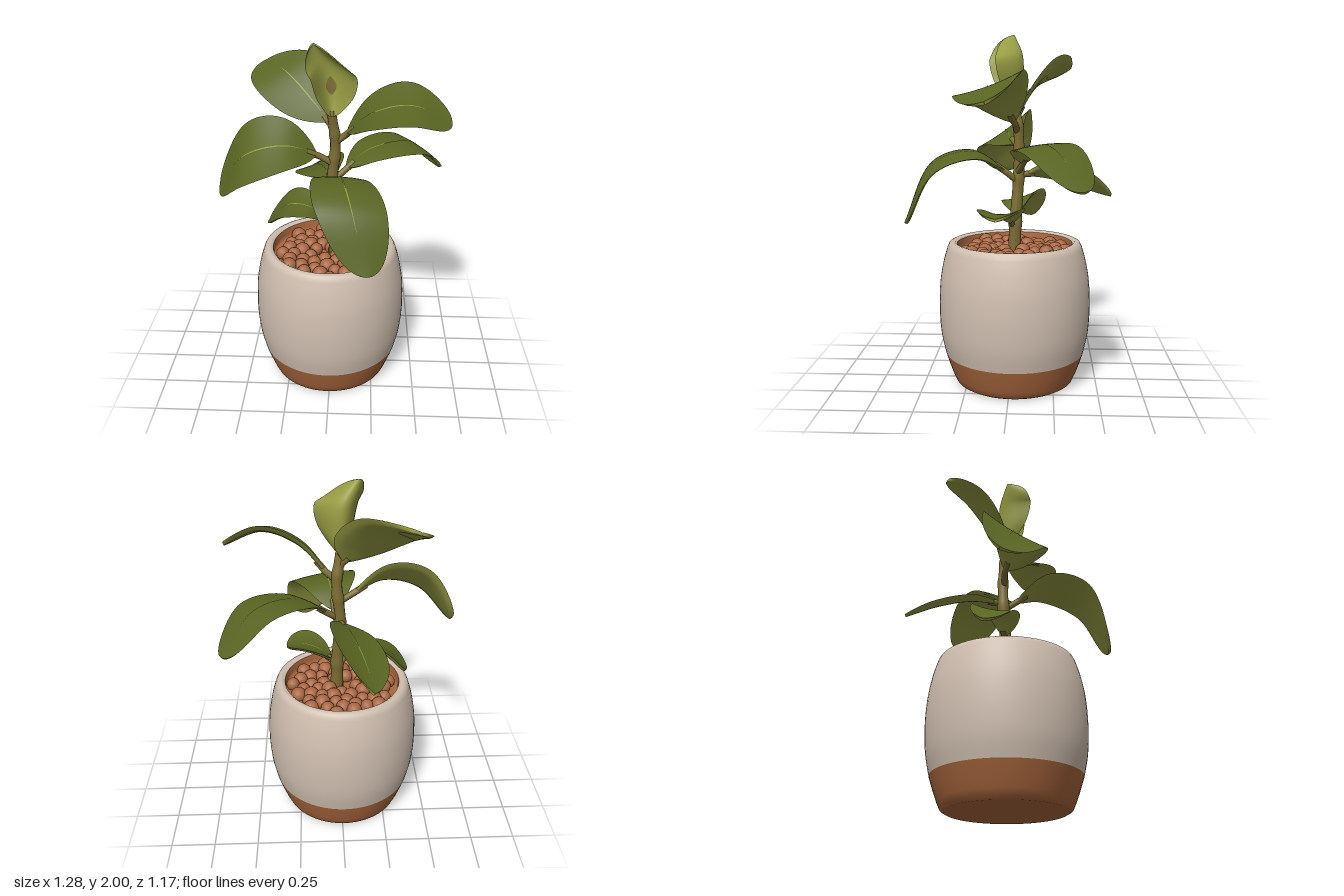
import * as THREE from 'three';

const V = (a) => new THREE.Vector3(...a);
const paint = (name, color) => {
  const m = new THREE.MeshStandardMaterial({ color });
  m.name = name;
  return m;
};
const named = (name, geometry, material) => {
  const m = new THREE.Mesh(geometry, material);
  m.name = name;
  return m;
};

// Grid surface; its front faces along dP/du x dP/dv
function surface(nu, nv, fn) {
  const pos = [], idx = [];
  for (let i = 0; i <= nu; i++)
    for (let j = 0; j <= nv; j++) pos.push(...fn(i / nu, j / nv).toArray());
  for (let i = 0; i < nu; i++)
    for (let j = 0; j < nv; j++) {
      const a = i * (nv + 1) + j, b = a + nv + 1;
      idx.push(a, b, a + 1, b, b + 1, a + 1);
    }
  const g = new THREE.BufferGeometry();
  g.setAttribute('position', new THREE.Float32BufferAttribute(pos, 3));
  g.setIndex(idx);
  g.computeVertexNormals();
  return g;
}

// rib: midrib points from stem to tip; side: full-width vector across the blade;
// cup: how far the edges rise; tip: higher is more pointed
const LEAVES = [
  { name: 'frontLeaf', rib: [[0.03, 1.23, 0], [0.06, 1.35, 0.2], [0.12, 1.28, 0.44], [0.2, 0.97, 0.58]], side: [0.37, -0.04, -0.06], cup: -0.015 },
  { name: 'rightLeaf', rib: [[-0.05, 1.38, -0.03], [-0.25, 1.46, 0.04], [-0.46, 1.41, 0.05], [-0.63, 1.21, -0.01]], side: [0, -0.25, 0.34] },
  { name: 'upperLeftLeaf', rib: [[0.06, 1.5, -0.03], [0.22, 1.65, 0.04], [0.42, 1.71, 0.09], [0.635, 1.63, 0.1]], side: [0, 0.13, -0.36] },
  { name: 'backLeftLeaf', rib: [[0.06, 1.28, -0.06], [0.22, 1.39, -0.12], [0.45, 1.39, -0.24], [0.63, 1.2, -0.39]], side: [-0.18, 0.03, -0.28], cup: -0.01 },
  { name: 'upperBackLeaf', rib: [[0, 1.56, -0.03], [-0.1, 1.67, -0.09], [-0.24, 1.79, -0.2], [-0.375, 1.84, -0.34]], side: [-0.34, -0.16, 0.14] },
  { name: 'backLeaf', rib: [[0, 1.23, -0.07], [-0.05, 1.23, -0.22], [-0.11, 1.17, -0.42], [-0.15, 1.09, -0.59]], side: [-0.27, -0.12, 0.05], tip: 0.8 },
  { name: 'lowRightLeaf', rib: [[-0.01, 0.98, -0.03], [-0.13, 1.06, -0.04], [-0.25, 1.05, -0.08], [-0.37, 0.94, -0.12]], side: [-0.06, -0.08, 0.24] },
  { name: 'lowLeftLeaf', rib: [[0.04, 0.95, -0.01], [0.12, 1, 0.02], [0.21, 1.02, 0.05], [0.31, 1.01, 0.07]], side: [0.02, 0.01, -0.25], cup: 0.03 },
];
const YOUNG_LEAF = {
  name: 'youngLeaf', young: true, side: [-0.235, 0, 0.05], cup: 0.16,
  rib: [[0.005, 1.58, -0.02], [0, 1.72, -0.05], [-0.02, 1.88, -0.05], [-0.09, 2, 0]],
};

function makeLeaf({ name, rib, side, cup = 0.015, tip = 0.5, young }, mats) {
  const group = new THREE.Group();
  group.name = name;
  const curve = new THREE.CatmullRomCurve3(rib.map(V));
  const S = V(side);
  const thick = 0.017;
  // Outline: gradual from the stalk, widest past the middle, blunt at the tip
  const outline = (s) => s ** 0.72 * (1 - s) ** tip;
  const widest = outline(0.72 / (0.72 + tip));
  const width = (t) => {
    const s = THREE.MathUtils.clamp((t - 0.05) / 0.95, 0, 1);
    return Math.max(outline(s) / widest, t < 0.2 ? 0.04 : 0.003);
  };
  const at = (t, c, lift) => {
    const N = curve.getTangent(t).cross(S).normalize();
    const w = width(t);
    return curve.getPoint(t)
      .addScaledVector(S, c * w / 2)
      .addScaledVector(N, cup * c * c * w + lift);
  };
  // Rows crowd toward the tip so it stays round
  const row = (u) => 1 - (1 - u) ** 1.6;
  const body = (c) => thick * (1 - c ** 8);
  group.add(
    named('upperFace', surface(32, 14, (u, v) => at(row(u), v * 2 - 1, 0)), young ? mats.under : mats.leaf),
    named('underside', surface(32, 14, (u, v) => at(row(u), 1 - v * 2, -body(v * 2 - 1))), mats.under),
  );
  // Thin plate along the midrib
  const strip = (label, t0, t1, half, mat) => group.add(named(label,
    surface(16, 2, (u, v) => {
      const c = (v * 2 - 1) * half * Math.sin(Math.PI * (0.04 + 0.92 * u));
      const t = t0 + (t1 - t0) * u;
      return at(t, c / width(t), 0.004);
    }), mat));
  if (young) strip('brownSpot', 0.34, 0.54, 0.24, mats.stem);
  else strip('midrib', 0.18, 0.8, 0.02, mats.rib);
  // Stalk rising from the stem into the blade
  const root = new THREE.Vector3(0.012, rib[0][1] - 0.05, -0.038);
  const stalk = new THREE.CatmullRomCurve3([root, ...[0.02, 0.08, 0.14].map((t) => at(t, 0, -0.01))]);
  group.add(named('stalk', new THREE.TubeGeometry(stalk, 12, 0.018, 10), mats.stem));
  return group;
}

export function createModel() {
  const model = new THREE.Group();
  model.name = 'pottedPlant';
  const mats = {
    glaze: paint('creamGlaze', 0xd0bfb0),
    clay: paint('terracotta', 0xaa673d),
    pebble: paint('clayPebble', 0xa96743),
    leaf: paint('leafGreen', 0x586422),
    under: paint('leafUnderside', 0x979d43),
    rib: paint('midribYellow', 0x8f9735),
    stem: paint('stemOlive', 0x7c6d33),
  };

  // Pot
  const pot = new THREE.Group();
  pot.name = 'pot';
  pot.position.set(-0.008, 0, -0.022);
  const lathe = (name, pts, mat) =>
    pot.add(named(name, new THREE.LatheGeometry(pts.map((p) => new THREE.Vector2(...p)), 64), mat));
  const wall = new THREE.SplineCurve([[0.407, 0.18], [0.431, 0.3], [0.44, 0.45], [0.433, 0.6], [0.412, 0.72], [0.388, 0.805]]
    .map((p) => new THREE.Vector2(...p))).getPoints(24).map((p) => p.toArray());
  lathe('potBottom', [[0, 0], [0.325, 0]], mats.clay);
  lathe('potBase', [[0.325, 0], [0.345, 0.012], [0.362, 0.05], [0.386, 0.115], [0.407, 0.18]], mats.clay);
  lathe('potWall', [...wall, [0.378, 0.825], [0.362, 0.833], [0.345, 0.832], [0.333, 0.822]], mats.glaze);
  lathe('potInside', [[0.333, 0.822], [0.328, 0.79], [0.326, 0.755], [0, 0.755]], mats.clay);

  // Clay pebbles in a sunflower layout
  const pebbles = new THREE.Group();
  pebbles.name = 'pebbles';
  const ball = new THREE.SphereGeometry(0.044, 14, 10);
  const count = 58;
  for (let i = 2; i < count; i++) {
    const r = 0.295 * Math.sqrt((i + 0.5) / count), a = i * 2.39996;
    const p = named('pebble', ball, mats.pebble);
    p.position.set(r * Math.cos(a), 0.776 + 0.01 * Math.sin(i * 5.3), r * Math.sin(a));
    p.scale.setScalar(0.95 + 0.1 * Math.sin(i * 2.7));
    pebbles.add(p);
  }
  pot.add(pebbles);
  model.add(pot);

  // Stem, swelling slightly where leaves join
  const path = new THREE.CatmullRomCurve3([[0.022, 0.74, -0.02], [0.02, 0.95, -0.028], [0.005, 1.22, -0.045],
    [0.022, 1.45, -0.045], [0.004, 1.62, -0.025]].map(V));
  const nodes = [0.94, 1.2, 1.36, 1.5];
  model.add(named('stem', surface(48, 14, (u, v) => {
    const p = path.getPoint(u), a = v * Math.PI * 2;
    const swell = nodes.reduce((s, y) => s + 0.005 * Math.exp(-(((p.y - y) / 0.03) ** 2)), 0);
    const r = 0.038 - 0.013 * u + swell;
    return p.add(new THREE.Vector3(Math.cos(a) * r, 0, Math.sin(a) * r));
  }), mats.stem));

  for (const leaf of [...LEAVES, YOUNG_LEAF]) model.add(makeLeaf(leaf, mats));
  return model;
}
